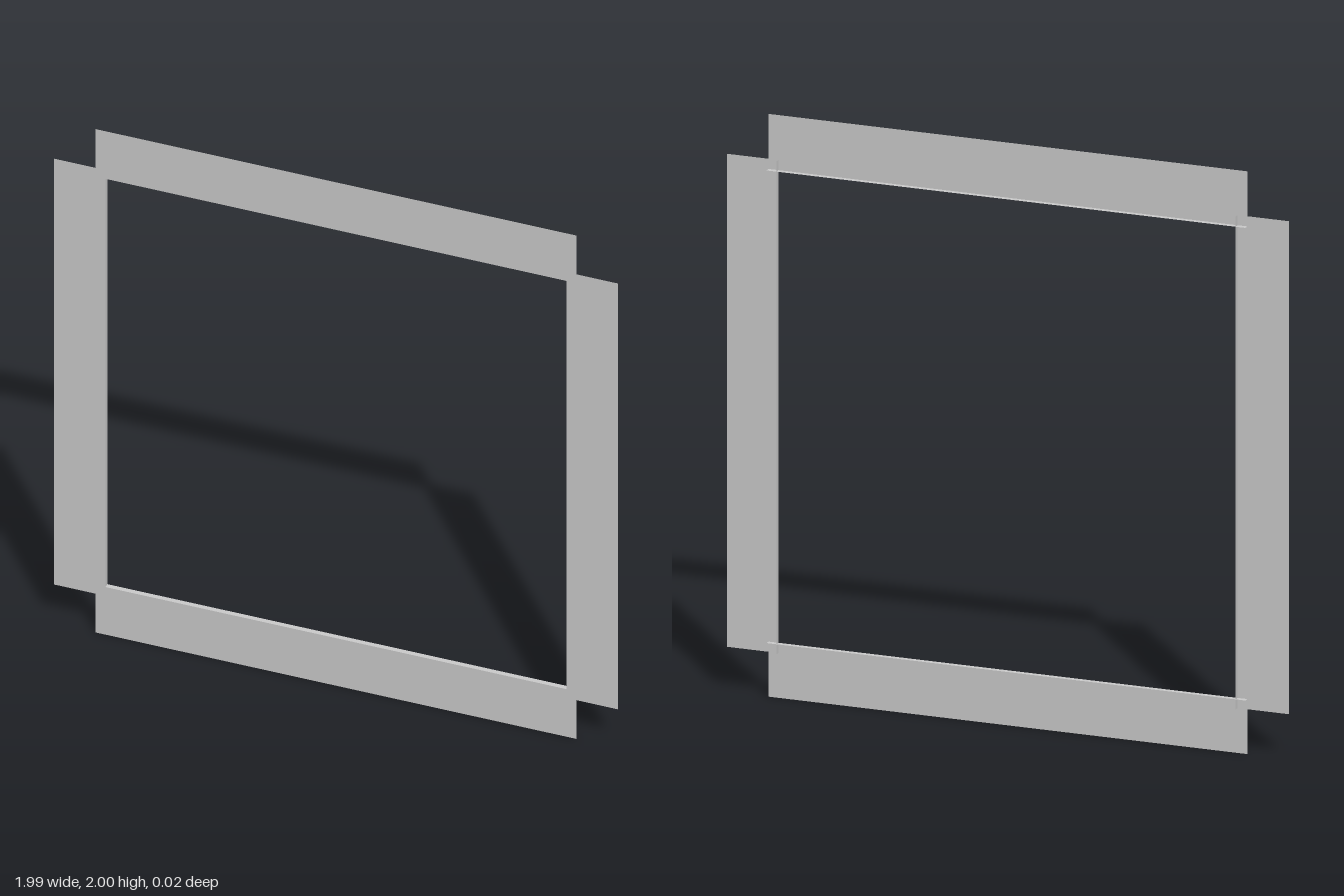
import * as THREE from 'three';

const LENGTH = 1.692; // length of every strip
const INNER = 0.811;  // distance from centre to the opening's edge
const DEPTH = 0.018;  // how far the lip folds back

const material = new THREE.MeshStandardMaterial({ color: 0xcccccc, side: THREE.DoubleSide });

// One folded sheet strip, lying above the centre: a flat face and a lip folded to the rear
function makeStrip(name, outer, angle) {
  const strip = new THREE.Group();
  strip.name = name;

  const face = new THREE.Mesh(new THREE.PlaneGeometry(LENGTH, outer - INNER), material);
  face.name = name + 'Face';
  face.position.set(0, (outer + INNER) / 2, DEPTH / 2);

  // lip's front side looks into the opening
  const lip = new THREE.Mesh(new THREE.PlaneGeometry(LENGTH, DEPTH).rotateX(Math.PI / 2), material);
  lip.name = name + 'Lip';
  lip.position.set(0, INNER, 0);

  strip.add(face, lip);
  strip.rotation.z = angle;
  strip.position.y = 1;
  return strip;
}

export function createModel() {
  const frame = new THREE.Group();
  frame.name = 'openFrame';
  frame.add(
    makeStrip('topStrip', 1, 0),
    makeStrip('rightStrip', 0.993, Math.PI / 2),
    makeStrip('bottomStrip', 1, Math.PI),
    makeStrip('leftStrip', 0.993, -Math.PI / 2)
  );
  return frame;
}
